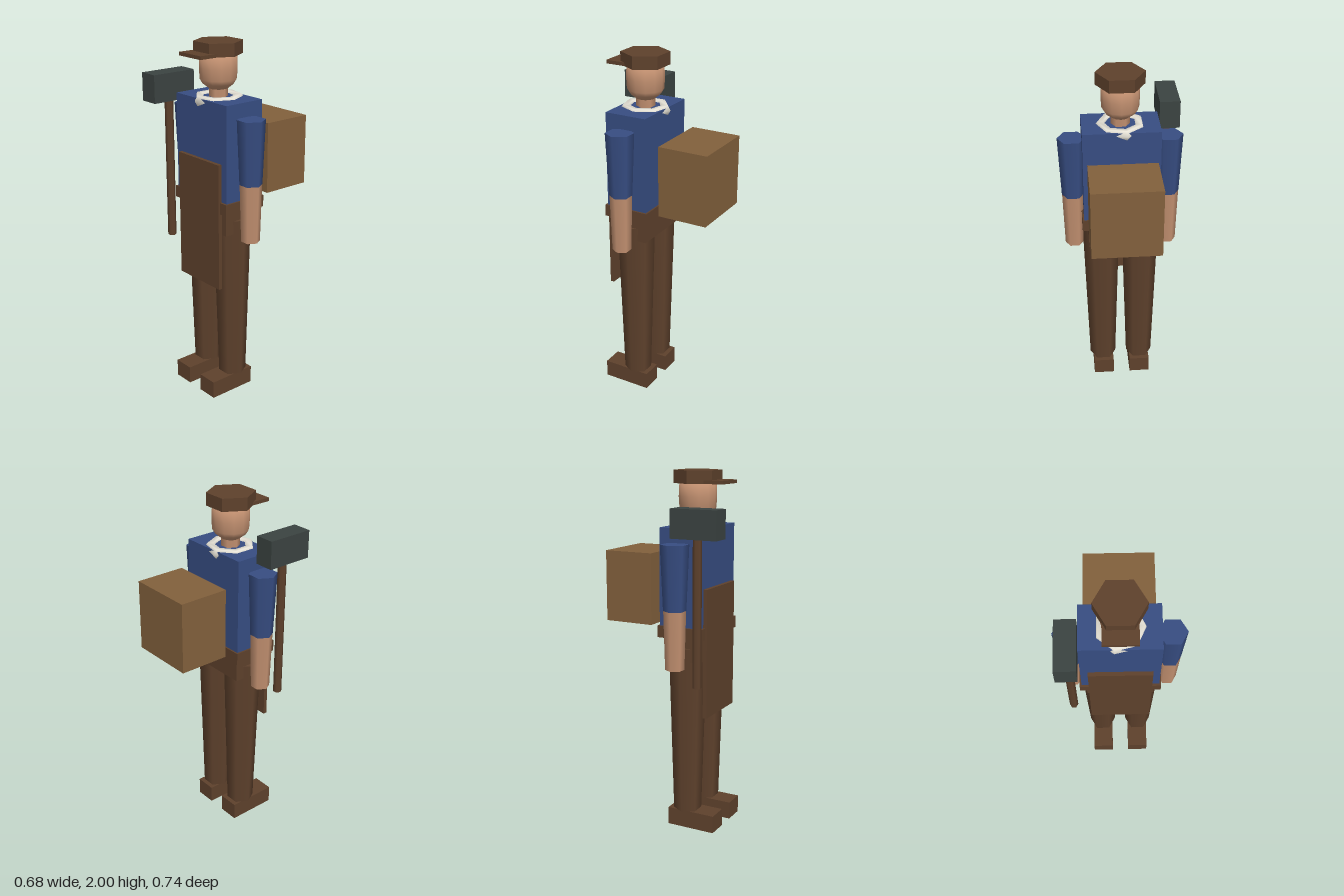
import * as THREE from 'three';

const material = (name, color, extra = {}) => {
  const m = new THREE.MeshStandardMaterial({ color, ...extra });
  m.name = name;
  return m;
};

export function createModel() {
  const group = new THREE.Group();
  const brown = material('brown leather', 0x5e412c);
  const blue = material('blue shirt', 0x374d82);
  const skin = material('skin', 0xc29070);
  const white = material('white cloth', 0xe6e2d6);
  const iron = material('dark iron', 0x3b4341);
  const tan = material('tan pack', 0x82603c);
  const axisZ = 0.104; // depth of the body's centre line

  const add = (name, geometry, mat) => {
    const mesh = new THREE.Mesh(geometry, mat);
    mesh.name = name;
    group.add(mesh);
    return mesh;
  };
  // box given by its limits on each axis
  const box = (name, mat, [x0, x1], [y0, y1], [z0, z1]) =>
    add(name, new THREE.BoxGeometry(x1 - x0, y1 - y0, z1 - z0)
      .translate((x0 + x1) / 2, (y0 + y1) / 2, (z0 + z1) / 2), mat);
  // upright six-sided column with corners on the x axis
  const hex = (name, mat, x, z, y0, y1, rBottom, rTop, flat = false) => {
    let g = new THREE.CylinderGeometry(rTop, rBottom, y1 - y0, 6).rotateY(Math.PI / 2);
    if (flat) {
      g = g.toNonIndexed();
      g.computeVertexNormals();
    }
    return add(name, g.translate(x, (y0 + y1) / 2, z), mat);
  };

  // body
  box('torso', blue, [-0.21, 0.21], [1.17, 1.705], [-0.018, 0.225]);
  box('belt', brown, [-0.22, 0.22], [1.11, 1.175], [-0.027, 0.237]);
  box('hips', brown, [-0.185, 0.185], [0.98, 1.11], [0, 0.21]);
  box('apron', brown, [-0.17, 0.17], [0.67, 1.385], [0.226, 0.248]);

  // limbs
  for (const [side, s] of [['left', 1], ['right', -1]]) {
    hex(side + 'Leg', brown, s * 0.112, axisZ, 0.1, 1.055, 0.078, 0.105);
    box(side + 'Shoe', brown, s > 0 ? [0.05, 0.17] : [-0.17, -0.05], [0, 0.1], [0.01, 0.293]);
    hex(side + 'Sleeve', blue, s * 0.265, axisZ, 1.275, 1.627, 0.062, 0.077);
    hex(side + 'Forearm', skin, s * 0.265, axisZ, 0.953, 1.275, 0.052, 0.061);
  }

  // head, neck and scarf
  hex('neck', skin, 0, axisZ, 1.69, 1.77, 0.052, 0.052);
  const headProfile = [[0, 1.738], [0.05, 1.748], [0.085, 1.775], [0.1, 1.8], [0.104, 1.86], [0.1, 1.94], [0, 1.945]]
    .map(([r, y]) => new THREE.Vector2(r, y));
  add('head', new THREE.LatheGeometry(headProfile, 12).translate(0, 0, axisZ), skin);
  add('scarf', new THREE.TorusGeometry(0.109, 0.031, 6, 7)
    .rotateX(-Math.PI / 2).translate(0, 1.689, axisZ), white);

  // cap
  hex('cap', brown, 0, axisZ, 1.93, 2, 0.132, 0.132, true);
  box('capBrim', brown, [-0.088, 0.088], [1.93, 1.949], [0.18, 0.293]);

  // hammer over the right shoulder
  hex('hammerHandle', brown, -0.265, 0.2375, 0.868, 1.67, 0.024, 0.024);
  box('hammerHead', iron, [-0.32, -0.21], [1.663, 1.817], [0.105, 0.37]);

  // pack behind the back
  box('pack', tan, [-0.188, 0.188], [1.165, 1.56], [-0.37, -0.084]);

  return group;
}
